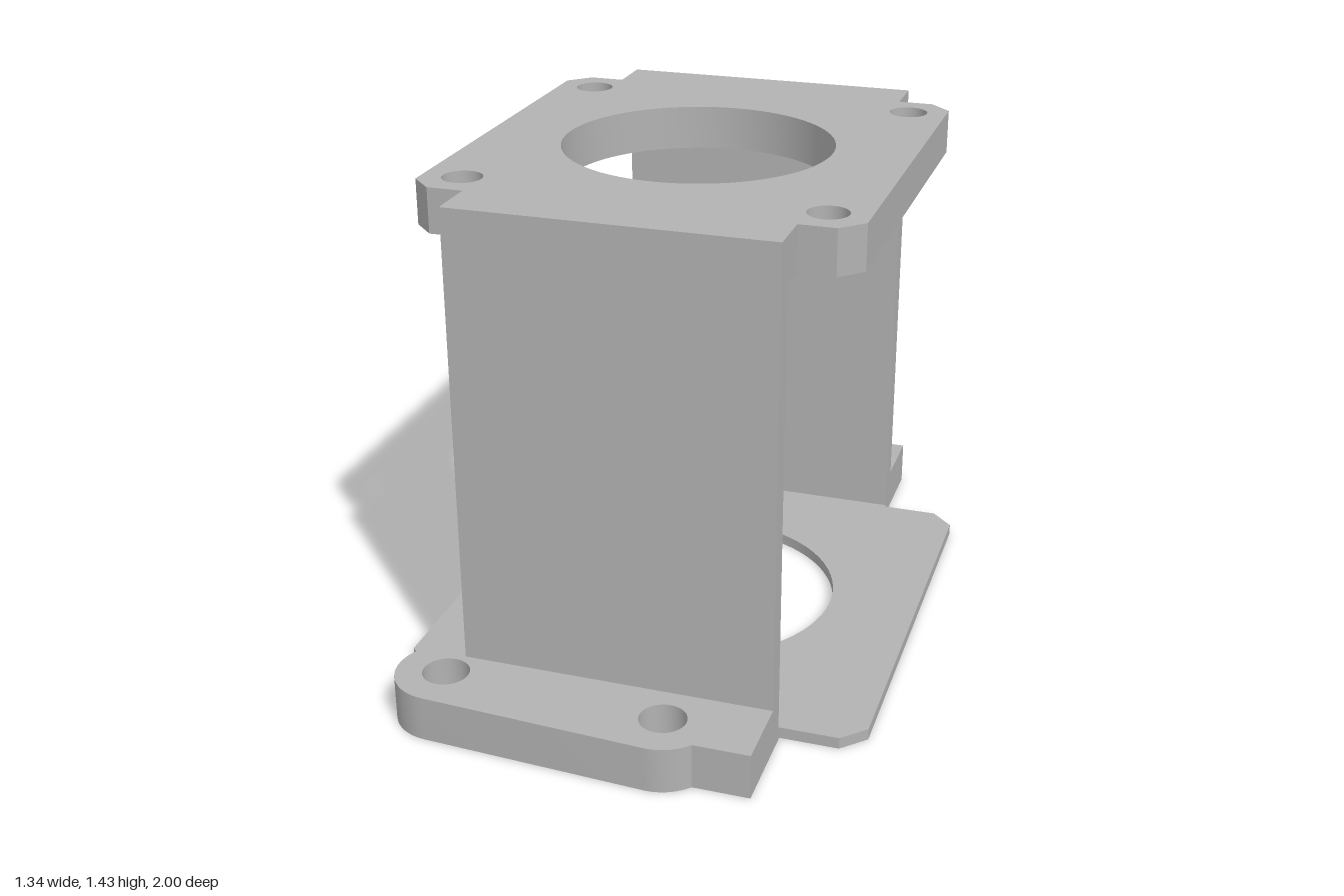
import * as THREE from 'three';
import { toCreasedNormals } from 'three/addons/utils/BufferGeometryUtils.js';

const metal = new THREE.MeshStandardMaterial({ color: 0xb2b2b2 });
metal.name = 'grey metal';

// Points on an arc in plan, as [x, z] pairs
function arc(cx, cz, r, from, to, steps = 24) {
  return Array.from({ length: steps + 1 }, (_, i) => {
    const a = from + (to - from) * i / steps;
    return [cx + r * Math.cos(a), cz + r * Math.sin(a)];
  });
}

// Horizontal plate from a plan outline [x, z] and round holes [x, z, r]
function plate(name, outline, holes, y0, y1) {
  const shape = new THREE.Shape(outline.map(([x, z]) => new THREE.Vector2(x, z)));
  for (const [x, z, r] of holes) {
    const pts = arc(x, z, r, 0, Math.PI * 2, r > 0.2 ? 72 : 32).slice(0, -1);
    shape.holes.push(new THREE.Path(pts.map(([px, pz]) => new THREE.Vector2(px, pz))));
  }
  let geo = new THREE.ExtrudeGeometry(shape, { depth: y1 - y0, bevelEnabled: false });
  geo.rotateX(Math.PI / 2);
  geo.translate(0, y1, 0);
  geo = toCreasedNormals(geo, 0.5);
  const mesh = new THREE.Mesh(geo, metal);
  mesh.name = name;
  return mesh;
}

// Square outline with chamfered corners and a tongue reaching the walls
function tongued(half, chamfer, tongueX, tongueZ) {
  const c = half - chamfer;
  const q = [[half, c], [c, half], [tongueX, half], [tongueX, tongueZ]];
  const flip = (pts, sx, sz) => pts.map(([x, z]) => [x * sx, z * sz]);
  return [
    ...q, ...flip(q, -1, 1).reverse(),
    ...flip(q, -1, -1), ...flip(q, 1, -1).reverse(),
  ];
}

export function createModel() {
  const group = new THREE.Group();
  group.name = 'mounting bracket';

  // Top plate with a bore and four screw holes
  const screws = [];
  for (const sx of [-1, 1]) for (const sz of [-1, 1]) screws.push([sx * 0.49, sz * 0.49, 0.055]);
  group.add(plate('topPlate', tongued(0.6, 0.06, 0.44, 0.68), [[0, 0, 0.38], ...screws], 1.305, 1.43));

  // Thin base plate with a slightly larger bore
  group.add(plate('basePlate', tongued(0.67, 0.065, 0.44, 0.68), [[0, 0, 0.413]], 0, 0.033));

  // Flange outline: square end, boss, slanted edge, round ear
  const ear = [-0.46, 0.825], boss = [0.175, 0.86], r = 0.14;
  const normal = Math.PI / 2 + Math.atan2(boss[1] - ear[1], boss[0] - ear[0]);
  const flange = [
    [0.44, 0.68], [0.44, 0.95],
    ...arc(...boss, r, Math.asin((0.95 - boss[1]) / r), normal, 12),
    ...arc(...ear, r, normal, Math.PI * 1.5),
    [-0.44, 0.685], [-0.44, 0.68],
  ];

  for (const [side, s] of [['front', 1], ['back', -1]]) {
    const wall = new THREE.Mesh(new THREE.BoxGeometry(0.88, 1.3, 0.06), metal);
    wall.name = side + 'Wall';
    wall.position.set(0, 0.78, s * 0.71);
    group.add(wall);

    const holes = [ear, boss].map(([x, z]) => [x, s * z, 0.065]);
    group.add(plate(side + 'Flange', flange.map(([x, z]) => [x, s * z]), holes, 0, 0.13));
  }
  return group;
}
